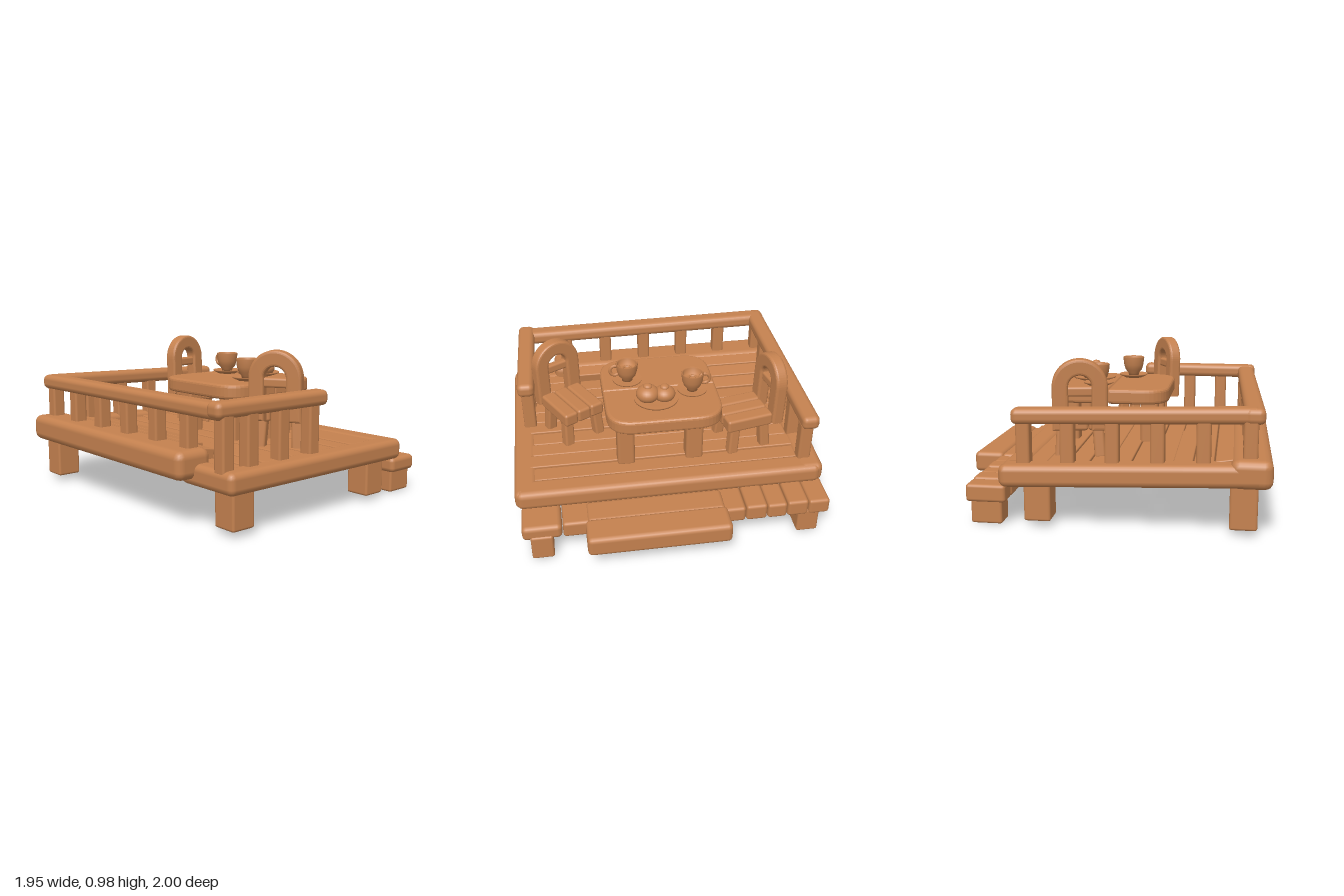
import * as THREE from 'three';
import { RoundedBoxGeometry } from 'three/addons/geometries/RoundedBoxGeometry.js';

const wood = new THREE.MeshStandardMaterial({ color: 0xc4814f });
wood.name = 'warmWood';

function add(parent, name, geometry, x = 0, y = 0, z = 0) {
  const mesh = new THREE.Mesh(geometry, wood);
  mesh.name = name;
  mesh.position.set(x, y, z);
  parent.add(mesh);
  return mesh;
}

// Rounded block given by its limits on each axis
function block(parent, name, [x0, x1], [y0, y1], [z0, z1], r = 0.02) {
  const w = x1 - x0, h = y1 - y0, d = z1 - z0;
  const radius = Math.min(r, w * 0.45, h * 0.45, d * 0.45);
  return add(parent, name, new RoundedBoxGeometry(w, h, d, 2, radius),
    (x0 + x1) / 2, (y0 + y1) / 2, (z0 + z1) / 2);
}

function group(parent, name, x = 0, y = 0, z = 0, turn = 0) {
  const g = new THREE.Group();
  g.name = name;
  g.position.set(x, y, z);
  g.rotation.y = turn;
  parent.add(g);
  return g;
}

function lathe(points) {
  return new THREE.LatheGeometry(points.map(p => new THREE.Vector2(...p)), 32);
}

// Flat plate with rounded corners, lying in xz with its underside at y = 0
function roundedPlate(x0, x1, z0, z1, radii, height) {
  const [a, b, c, d] = radii;
  const s = new THREE.Shape();
  s.moveTo(x0 + a, -z1);
  s.lineTo(x1 - b, -z1);
  s.quadraticCurveTo(x1, -z1, x1, -z1 + b);
  s.lineTo(x1, -z0 - c);
  s.quadraticCurveTo(x1, -z0, x1 - c, -z0);
  s.lineTo(x0 + d, -z0);
  s.quadraticCurveTo(x0, -z0, x0, -z0 - d);
  s.lineTo(x0, -z1 + a);
  s.quadraticCurveTo(x0, -z1, x0 + a, -z1);
  const bevel = 0.02;
  const geo = new THREE.ExtrudeGeometry(s, { depth: height - 2 * bevel, curveSegments: 10,
    bevelEnabled: true, bevelSize: bevel, bevelOffset: -bevel, bevelThickness: bevel, bevelSegments: 3 });
  return geo.rotateX(-Math.PI / 2).translate(0, bevel, 0);
}

function buildDeck(root) {
  const deck = group(root, 'deck');
  // Frame: the left and back beams sit a little higher than the others
  block(deck, 'frontBeam', [-0.87, 0.6], [0.25, 0.38], [0.85, 1], 0.04);
  block(deck, 'rightBeam', [0.45, 0.61], [0.25, 0.38], [-0.98, 0.99], 0.04);
  block(deck, 'leftFrontBeam', [-0.87, -0.74], [0.25, 0.38], [0.55, 0.99], 0.04);
  block(deck, 'leftBeam', [-0.98, -0.74], [0.29, 0.46], [-1, 0.69], 0.05);
  block(deck, 'backBeam', [-0.97, 0.6], [0.275, 0.41], [-1, -0.84], 0.04).rotation.z = -0.035;

  // Planks; those on the left are split, with the rear part raised
  const count = 10, start = -0.78, pitch = 0.125;
  for (let i = 0; i < count; i++) {
    const x0 = start + i * pitch, x1 = x0 + pitch - 0.006, mid = (x0 + x1) / 2;
    const top = 0.373 + (i % 3) * 0.004;
    if (mid > -0.43) {
      block(deck, 'plank', [x0, x1], [0.265, top], [-0.9, 0.9], 0.008);
      continue;
    }
    const cut = Math.min(0.66, (-0.43 - mid) * 2.1);
    const lift = (-0.43 - mid) * 0.17 + 0.015;
    block(deck, 'plank', [x0, x1], [0.265, top], [cut - 0.03, 0.9], 0.008);
    block(deck, 'raisedPlank', [x0, x1], [0.265 + lift, 0.375 + lift], [-0.9, cut], 0.008).rotation.z = -0.16;
  }

  // Feet
  for (const [x, z] of [[-0.74, 0.88], [-0.82, -0.87], [0.38, 0.88], [0.38, -0.87]])
    block(deck, 'deckFoot', [x - 0.08, x + 0.08], [0.04, 0.31], [z - 0.08, z + 0.08], 0.015);
}

function buildRailing(root) {
  const railing = group(root, 'railing');
  const post = (x, z, top) =>
    block(railing, 'railPost', [x - 0.042, x + 0.042], [0.35, top], [z - 0.042, z + 0.042], 0.015);
  block(railing, 'frontRail', [-0.9, -0.05], [0.66, 0.755], [0.825, 0.94], 0.035).rotation.y = -0.02;
  block(railing, 'leftRail', [-0.91, -0.79], [0.65, 0.745], [-0.94, 0.92], 0.035).rotation.y = 0.022;
  const back = block(railing, 'backRail', [-0.91, 0.53], [0.635, 0.73], [-0.95, -0.835], 0.035);
  back.rotation.set(0, 0.02, -0.025);
  for (const x of [-0.82, -0.64, -0.4, -0.15]) post(x, 0.885, 0.69);
  for (let i = 1; i < 6; i++) post(-0.86 + i * 0.007, -0.88 + i * 0.293, 0.68);
  for (let i = 0; i < 6; i++) post(-0.85 + i * 0.263, -0.89, 0.69 - i * 0.008);
}

function buildSteps(root) {
  const steps = group(root, 'steps');
  // Long ledge made of short boards, with a wide tread in front
  block(steps, 'ledgeFront', [0.55, 0.78], [0.15, 0.25], [0.72, 0.97], 0.03);
  block(steps, 'ledgeFrontBoard', [0.55, 0.775], [0.15, 0.26], [0.5, 0.715], 0.02);
  block(steps, 'ledgeCore', [0.55, 0.76], [0.16, 0.25], [-0.4, 0.55], 0.015);
  const cuts = [-0.99, -0.85, -0.71, -0.58, -0.44, -0.29];
  for (let i = 0; i < cuts.length - 1; i++)
    block(steps, 'ledgeBoard', [0.56, 0.8], [0.155, 0.262 + (i % 2) * 0.006], [cuts[i], cuts[i + 1] - 0.004], 0.02);
  block(steps, 'treadInner', [0.6, 0.785], [0.15, 0.275], [-0.31, 0.56], 0.025);
  block(steps, 'treadOuter', [0.77, 0.97], [0.15, 0.285], [-0.32, 0.575], 0.03);
  for (const z of [0.85, -0.86])
    block(steps, 'stepFoot', [0.6, 0.79], [0.005, 0.18], [z - 0.07, z + 0.07], 0.015);
}

function buildTable(root) {
  const table = group(root, 'table');
  // Two-board top with big round outer corners
  add(table, 'tableTopLeft', roundedPlate(-0.33, 0.055, -0.37, 0.385, [0.18, 0.015, 0.015, 0.18], 0.095), 0, 0.645, 0);
  add(table, 'tableTopRight', roundedPlate(0.05, 0.445, -0.37, 0.385, [0.015, 0.18, 0.18, 0.015], 0.095), 0, 0.645, 0);
  for (const x of [-0.2, 0.325])
    for (const z of [0.27, -0.18])
      block(table, 'tableLeg', [x - 0.057, x + 0.057], [0.36, 0.66], [z - 0.057, z + 0.057], 0.02);
}

// Chair facing its own +z, with an arched back
function buildChair(root, name, x, z, turn) {
  const chair = group(root, name, x, 0, z, turn);
  for (let i = 0; i < 3; i++)
    block(chair, 'seatBoard', [-0.15 + i * 0.1, -0.052 + i * 0.1], [0.535, 0.625], [-0.16, 0.16], 0.018);
  for (const sx of [-1, 1])
    for (const sz of [-1, 1]) {
      const leg = block(chair, 'chairLeg', [sx * 0.115 - 0.034, sx * 0.115 + 0.034], [0.36, 0.57],
        [sz * 0.11 - 0.034, sz * 0.11 + 0.034], 0.015);
      leg.rotation.set(-sz * 0.08, 0, sx * 0.06);
    }
  // Arch with an open middle
  const arch = new THREE.Shape();
  arch.moveTo(-0.15, 0);
  arch.lineTo(-0.085, 0);
  arch.lineTo(-0.085, 0.25);
  arch.absarc(0, 0.25, 0.085, Math.PI, 0, true);
  arch.lineTo(0.085, 0);
  arch.lineTo(0.15, 0);
  arch.lineTo(0.15, 0.25);
  arch.absarc(0, 0.25, 0.15, 0, Math.PI, false);
  arch.lineTo(-0.15, 0);
  const geo = new THREE.ExtrudeGeometry(arch, { depth: 0.05, curveSegments: 16, bevelEnabled: true,
    bevelSize: 0.016, bevelThickness: 0.016, bevelSegments: 3 });
  const back = group(chair, 'chairBack', 0, 0.565, -0.19);
  back.rotation.x = -0.03;
  add(back, 'backArch', geo, 0, 0, -0.025);
  block(back, 'backSlat', [-0.1, 0.1], [0.19, 0.25], [-0.025, 0.025], 0.015);
}

function buildCup(root, name, x, z, handleSide) {
  const cup = group(root, name, x, 0.74, z);
  add(cup, 'saucer', lathe([[0, 0], [0.06, 0], [0.098, 0.018], [0.098, 0.026], [0.06, 0.016], [0, 0.014]]));
  add(cup, 'cupBody', lathe([[0, 0.015], [0.035, 0.015], [0.037, 0.03], [0.057, 0.055], [0.068, 0.09], [0.074, 0.14],
    [0.07, 0.145], [0.062, 0.138], [0.057, 0.1], [0, 0.1]]));
  add(cup, 'drinkRipple', new THREE.TorusGeometry(0.028, 0.008, 8, 24).rotateX(Math.PI / 2), 0, 0.1, 0);
  add(cup, 'cupHandle', new THREE.TorusGeometry(0.034, 0.011, 10, 24).rotateY(Math.PI / 2), 0, 0.093, handleSide * 0.08);
}

function buildBuns(root) {
  const plate = group(root, 'plateOfBuns', 0.21, 0.74, 0.05);
  add(plate, 'plate', lathe([[0, 0], [0.09, 0], [0.145, 0.018], [0.145, 0.028], [0.09, 0.018], [0, 0.016]]));
  for (const [z, y, r] of [[0.055, 0.057, 0.076], [-0.055, 0.047, 0.07]]) {
    add(plate, 'bun', new THREE.SphereGeometry(r, 24, 16).scale(1, 0.75, 1), 0, y, z);
    add(plate, 'bunTop', new THREE.SphereGeometry(0.03, 16, 10).scale(1, 0.6, 1), 0, y + r * 0.72, z);
  }
}

export function createModel() {
  const root = new THREE.Group();
  root.name = 'teaTerrace';
  buildDeck(root);
  buildRailing(root);
  buildSteps(root);
  buildTable(root);
  buildChair(root, 'backChair', 0.2, -0.53, 0.2);
  buildChair(root, 'frontChair', -0.06, 0.585, 2.07);
  buildCup(root, 'backCup', 0.14, -0.2, -1);
  buildCup(root, 'frontCup', -0.04, 0.21, 1);
  buildBuns(root);
  return root;
}
